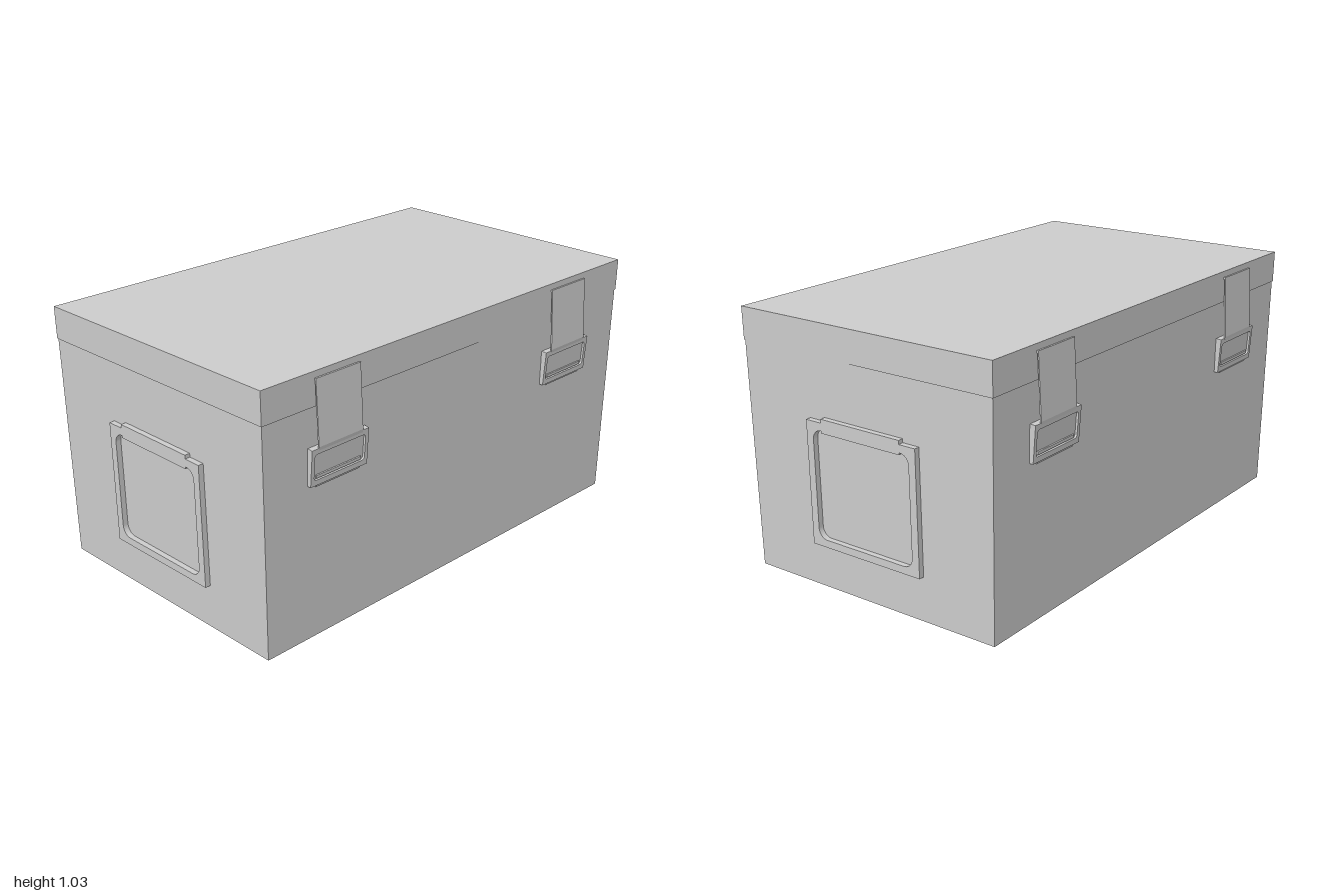
import * as THREE from 'three';

const material = new THREE.MeshStandardMaterial({ color: 0xcccccc, side: THREE.DoubleSide });

function addMesh(parent, name, geometry, x = 0, y = 0, z = 0) {
  const mesh = new THREE.Mesh(geometry, material);
  mesh.name = name;
  mesh.position.set(x, y, z);
  parent.add(mesh);
  return mesh;
}

// Box between two heights with its own half-sizes at the bottom and top
function taperedBox(y0, y1, [x0, z0], [x1, z1]) {
  const g = new THREE.BoxGeometry(2, 1, 2);
  const p = g.attributes.position;
  for (let i = 0; i < p.count; i++) {
    const top = p.getY(i) > 0;
    p.setXYZ(i, p.getX(i) * (top ? x1 : x0), top ? y1 : y0, p.getZ(i) * (top ? z1 : z0));
  }
  g.computeVertexNormals();
  return g;
}

function roundedRect(path, w, h, r) {
  const x = w / 2, y = h / 2;
  path.moveTo(-x + r, -y).lineTo(x - r, -y);
  path.absarc(x - r, -y + r, r, -Math.PI / 2, 0);
  path.absarc(x - r, y - r, r, 0, Math.PI / 2);
  path.absarc(-x + r, y - r, r, Math.PI / 2, Math.PI);
  path.absarc(-x + r, -y + r, r, Math.PI, Math.PI * 1.5);
  return path;
}

// Rectangular plate with a rounded opening shifted by dy
function frame(w, h, holeW, holeH, holeR, dy, depth) {
  const shape = new THREE.Shape();
  shape.moveTo(-w / 2, -h / 2).lineTo(w / 2, -h / 2).lineTo(w / 2, h / 2).lineTo(-w / 2, h / 2).closePath();
  const hole = roundedRect(new THREE.Path(), holeW, holeH, holeR);
  shape.holes.push(new THREE.Path(hole.getPoints(6).map((p) => p.add(new THREE.Vector2(0, dy)))));
  return new THREE.ExtrudeGeometry(shape, { depth, bevelEnabled: false, curveSegments: 6 });
}

// Side profile of [z, y] points swept across the width w
function sweep(points, w) {
  const shape = new THREE.Shape(points.map(([z, y]) => new THREE.Vector2(-z, y)));
  return new THREE.ExtrudeGeometry(shape, { depth: w, bevelEnabled: false })
    .translate(0, 0, -w / 2).rotateY(Math.PI / 2);
}

// Strap and buckle, facing +z
function createLatch() {
  const latch = new THREE.Group();
  latch.name = 'latch';
  // thin strap hanging from the lid, leaning out over the buckle
  addMesh(latch, 'strap', sweep([[0.575, 1.006], [0.584, 1.006], [0.597, 0.76], [0.594, 0.745],
    [0.591, 0.76], [0.58, 0.998], [0.575, 0.998]], 0.212));
  const buckle = new THREE.Group();
  buckle.name = 'buckle';
  buckle.position.set(0, 0.686, 0.567);
  buckle.rotation.x = 0.07;
  latch.add(buckle);
  addMesh(buckle, 'buckleFrame', frame(0.274, 0.142, 0.244, 0.1, 0.012, 0, 0.023));
  addMesh(buckle, 'buckleInset', new THREE.BoxGeometry(0.244, 0.1, 0.014), 0, 0, 0.007);
  addMesh(buckle, 'buckleBar', new THREE.BoxGeometry(0.216, 0.012, 0.006), 0, -0.04, 0.017);
  // pull lip under the buckle
  addMesh(latch, 'pullLip', sweep([[0.565, 0.62], [0.584, 0.62], [0.579, 0.605], [0.565, 0.605]], 0.212));
  return latch;
}

// Framed recess with a top tab, facing +z
function createHandle() {
  const handle = new THREE.Group();
  handle.name = 'sideHandle';
  addMesh(handle, 'handleFrame', frame(0.512, 0.488, 0.45, 0.428, 0.04, 0, 0.022), 0, 0.42, -0.001);
  addMesh(handle, 'handleTab', new THREE.BoxGeometry(0.368, 0.054, 0.026), 0, 0.652, 0.008);
  return handle;
}

export function createModel() {
  const model = new THREE.Group();
  model.name = 'storageChest';

  // Tapered body and slightly overhanging lid
  addMesh(model, 'body', taperedBox(0, 0.905, [0.969, 0.562], [0.981, 0.573]));
  addMesh(model, 'lid', taperedBox(0.903, 1.031, [0.984, 0.576], [0.986, 0.577]));

  // Two latches on the front and two on the back
  for (const [side, angle] of [['front', 0], ['back', Math.PI]]) {
    for (const x of [-0.641, 0.641]) {
      const latch = createLatch();
      latch.name = side + (x > 0 ? 'LeftLatch' : 'RightLatch');
      latch.position.x = x;
      latch.rotation.y = angle;
      model.add(latch);
    }
  }

  // Handles lie on the sloping end walls
  for (const s of [1, -1]) {
    const handle = createHandle();
    handle.name = s > 0 ? 'leftHandle' : 'rightHandle';
    handle.rotation.order = 'YXZ';
    handle.rotation.set(0.013, s * Math.PI / 2, 0);
    handle.position.set(s * 0.97, 0, 0.004);
    model.add(handle);
  }
  return model;
}
